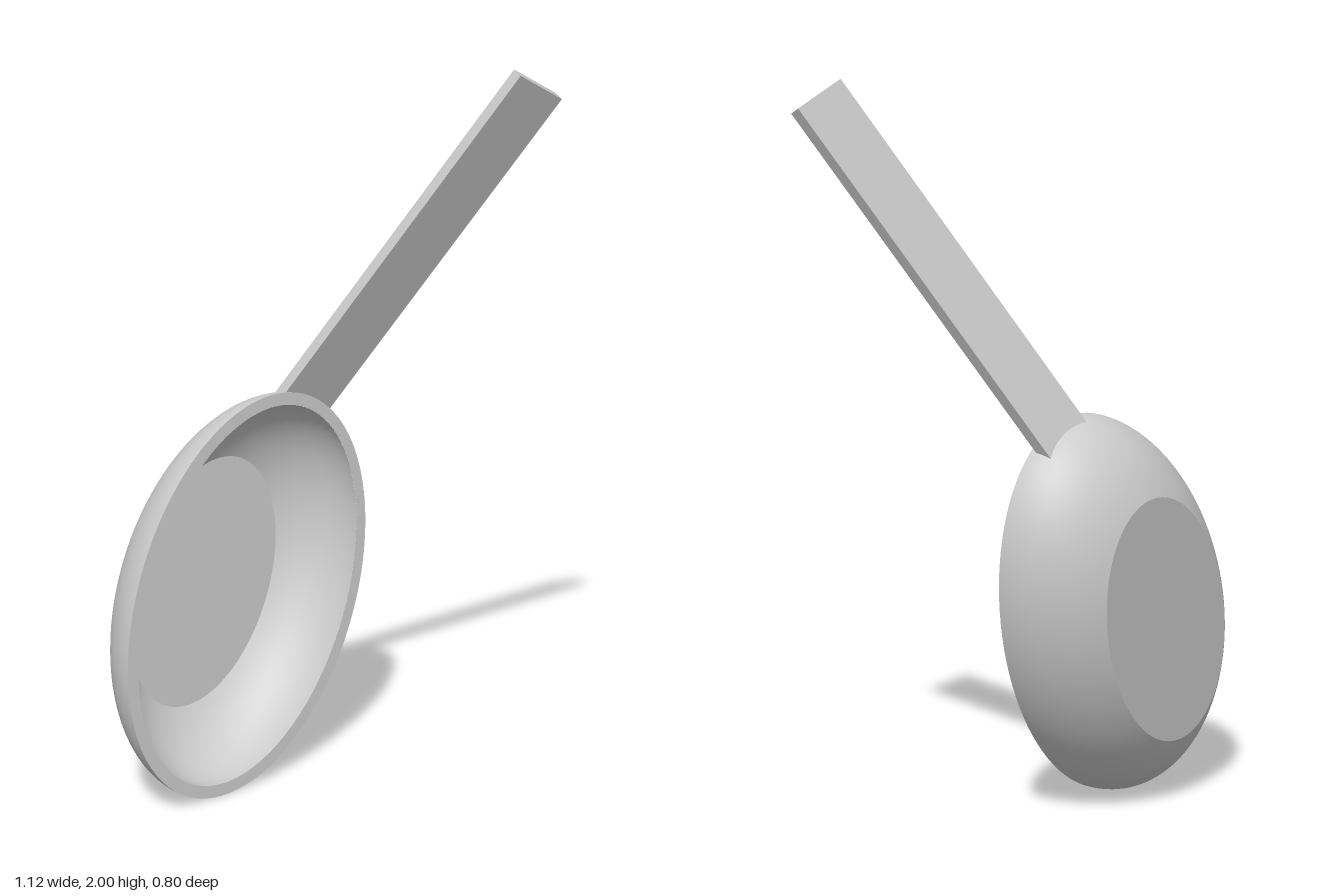
import * as THREE from 'three';

const A = 0.581, B = 0.395, H = 0.316; // bowl half-length, half-width, full ellipsoid depth
const WALL = 0.035, DEPTH = 0.243;
const material = new THREE.MeshStandardMaterial({ color: 0xcccccc });

function part(name, geometry, parent) {
  const mesh = new THREE.Mesh(geometry, material);
  mesh.name = name;
  parent.add(mesh);
}

// Orients a group by its own side, long and front directions
function orient(group, long, front) {
  const y = new THREE.Vector3(...long).normalize();
  const x = new THREE.Vector3().crossVectors(y, new THREE.Vector3(...front)).normalize();
  const z = new THREE.Vector3().crossVectors(x, y);
  group.quaternion.setFromRotationMatrix(new THREE.Matrix4().makeBasis(x, y, z));
}

// Half-ellipsoid wall and flat floor; inset 0 is the outside, WALL the inside
function shell(inset, inside, prefix, parent) {
  const a = A - inset, b = B - inset, h = H - inset, depth = DEPTH - inset;
  const start = Math.acos(depth / h);
  const points = [];
  for (let i = 0; i <= 20; i++) {
    const t = start + (Math.PI / 2 - start) * i / 20;
    points.push(new THREE.Vector2(Math.sin(t), -Math.cos(t)));
  }
  if (inside) points.reverse();
  const wall = new THREE.LatheGeometry(points, 96);
  wall.rotateX(Math.PI / 2).scale(b, a, h);
  part(prefix + 'Wall', wall, parent);

  const floor = new THREE.CircleGeometry(Math.sin(start), 96);
  if (!inside) floor.rotateY(Math.PI);
  floor.scale(b, a, 1).translate(0, 0, -depth);
  part(prefix + 'Floor', floor, parent);
}

export function createModel() {
  const model = new THREE.Group();
  model.name = 'spoon';

  // Oval bowl, opening along its local +z
  const bowl = new THREE.Group();
  bowl.name = 'bowl';
  orient(bowl, [0.426, 0.905, 0.005], [-0.1375, 0.0594, 0.989]);
  bowl.position.set(-0.13, 0.5525, -0.13);
  shell(0, false, 'outer', bowl);
  shell(WALL, true, 'inner', bowl);

  // Flat rim joining the two walls
  const rim = new THREE.Shape().absellipse(0, 0, B, A, 0, Math.PI * 2);
  rim.holes.push(new THREE.Path().absellipse(0, 0, B - WALL, A - WALL, 0, Math.PI * 2));
  part('rim', new THREE.ShapeGeometry(rim, 96), bowl);
  model.add(bowl);

  // Straight flat handle; its lower end is hollowed to sit in the bowl wall
  const length = 1.125, width = 0.176;
  const bar = new THREE.BoxGeometry(width, length, 0.035, 12, 1, 1);
  bar.translate(0, -length / 2, 0);
  const p = bar.attributes.position;
  for (let i = 0; i < p.count; i++) {
    if (p.getY(i) > -length / 2) continue;
    const s = p.getX(i) / (width / 2);
    p.setY(i, p.getY(i) + 0.018 * (1 - s * s) + (p.getZ(i) > 0 ? 0.01 : 0));
  }
  const handle = new THREE.Group();
  handle.name = 'handle';
  orient(handle, [0.324, 0.815, 0.481], [-0.312, -0.39, 0.87]);
  handle.position.set(0.479, 1.955, 0.369);
  part('handleBar', bar, handle);
  model.add(handle);

  return model;
}
